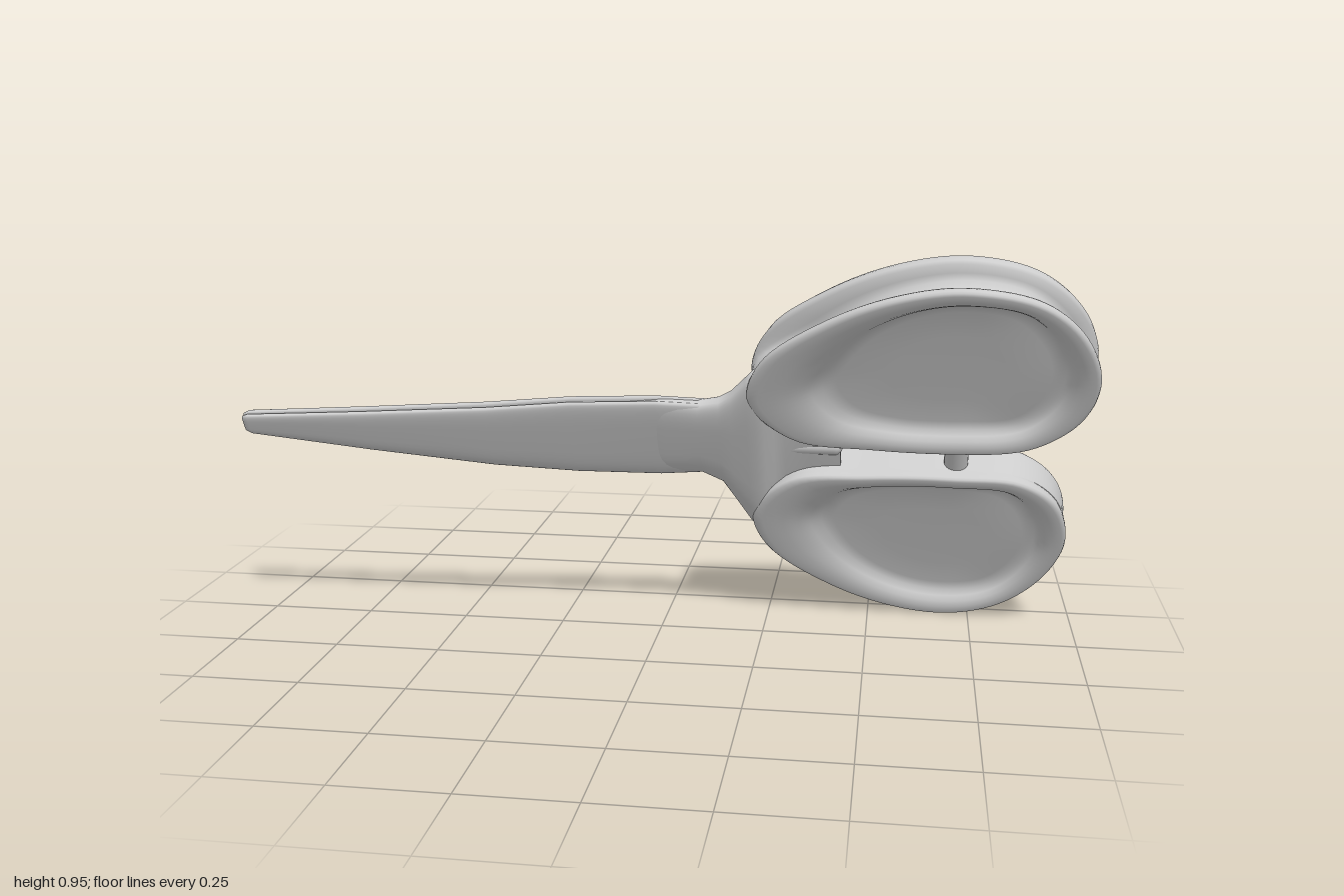
import * as THREE from 'three';

const material = new THREE.MeshStandardMaterial({ color: 0xcccccc, side: THREE.DoubleSide });
const { smoothstep } = THREE.MathUtils;

// Smooth skin over a stack of closed rings
function skin(name, rings, flip = false) {
  const n = rings[0].length, pos = [], idx = [];
  rings.forEach(r => r.forEach(p => pos.push(p.x, p.y, p.z)));
  for (let i = 0; i < rings.length - 1; i++) {
    for (let j = 0; j < n; j++) {
      const a = i * n + j, b = i * n + (j + 1) % n, c = a + n, d = b + n;
      if (flip) idx.push(a, c, b, b, c, d);
      else idx.push(a, b, c, b, d, c);
    }
  }
  const g = new THREE.BufferGeometry();
  g.setAttribute('position', new THREE.Float32BufferAttribute(pos, 3));
  g.setIndex(idx);
  g.computeVertexNormals();
  const mesh = new THREE.Mesh(g, material);
  mesh.name = name;
  return mesh;
}

// Rounded-box cross-sections along x; each section is [x, low, high, middle z, half thickness]
function loft(name, sections) {
  const n = 32, soft = v => Math.sign(v) * Math.abs(v) ** 0.6;
  const ring = ([x, lo, hi, z, h], k = 1) => Array.from({ length: n }, (_, j) => {
    const a = (j / n) * Math.PI * 2;
    return new THREE.Vector3(x, (lo + hi) / 2 + k * soft(Math.cos(a)) * (hi - lo) / 2, z + k * soft(Math.sin(a)) * h);
  });
  const last = sections[sections.length - 1];
  return skin(name, [ring(sections[0], 0), ...sections.map(s => ring(s)), ring(last, 0)]);
}

const closedCurve = pts => new THREE.CatmullRomCurve3(pts.map(([x, y]) => new THREE.Vector3(x, y, 0)), true);

// Matching outlines of the bow: outer rim and inner bowl
const outer = closedCurve([[.22, .18], [.255, .30], [.40, .42], [.55, .49], [.70, .515], [.85, .48], [.95, .39],
  [1.0, .26], [.97, .14], [.87, .06], [.70, .043], [.50, .048], [.32, .07]]);
const inner = closedCurve([[.39, .21], [.42, .29], [.49, .375], [.59, .435], [.70, .457], [.82, .435], [.89, .365],
  [.925, .27], [.905, .18], [.84, .112], [.70, .095], [.55, .10], [.44, .135]]);
const centre = new THREE.Vector3(.67, .27, 0);

// Profile across the bow: [position from bowl (0) to rim (1), z, inset on the finger side, inset on the inner side];
// negative positions move toward the centre
const profile = [
  [-1, .03, 0, 0], [-.5, .03, 0, 0], [-.12, .031, 0, 0], [0, .036, 0, 0], [.15, .05, 0, 0], [.32, .061, 0, 0],
  [.55, .068, 0, 0], [.85, .07, 0, 0], [.96, .067, 0, 0], [1, .061, 0, 0], [1, .052, 0, 0], [.98, .045, .04, 0],
  [.97, .039, .3, 0], [.96, .031, .55, 0], [.96, 0, .6, 0], [.96, -.022, .57, 0], [.97, -.029, .33, 0],
  [.98, -.037, .04, 0], [1, -.047, 0, .02], [1, -.058, 0, .08], [.93, -.069, 0, .14], [.75, -.076, 0, .1],
  [.5, -.076, 0, 0], [.3, -.068, 0, 0], [.17, -.05, 0, 0], [.1, -.02, 0, 0], [.06, .008, 0, 0], [0, .016, 0, 0],
  [-.12, .018, 0, 0], [-1, .018, 0, 0],
];

function bow(name, side) {
  const n = 96;
  const rings = profile.map(([t, z, groove, round]) => Array.from({ length: n }, (_, j) => {
    const o = outer.getPoint(j / n), i = inner.getPoint(j / n);
    // the finger groove fades out toward the inner side, whose back edge is rounder
    const fade = smoothstep(o.y, .22, .37);
    const k = t - groove * fade - round * (1 - fade);
    const p = t < 0 ? i.lerp(centre, -t) : i.lerp(o, k);
    // the front rim dips slightly at the far end
    p.z = z - (z > .032 ? .016 * smoothstep(p.x, .72, 1) : 0);
    // the lower bow is slightly shorter and reaches closer to the middle
    if (side < 0) {
      p.x = .22 + (p.x - .22) * .96;
      p.y -= .008 * (1 - smoothstep(p.y, .1, .3));
    }
    p.y *= side;
    return p;
  }));
  return skin(name, rings, side < 0);
}

export function createModel() {
  const model = new THREE.Group();
  model.name = 'scissors';
  const body = new THREE.Group();
  body.name = 'tiltedBody';
  body.rotation.x = .537;
  body.position.y = .475;
  model.add(body);

  body.add(bow('upperHandle', 1), bow('lowerHandle', -1));

  // Two closed blades with a fine groove between their edges
  const blade = [
    [-1, .078, .122, .094, .5], [-.985, .072, .129, .094, .75], [-.7, .022, .141, .083, .9], [-.4, -.03, .152, .066, 1],
    [-.2, -.06, .16, .047, 1], [0, -.07, .16, .035, 1], [.14, -.06, .15, .03, 1],
  ];
  for (const [name, s] of [['frontBlade', 1], ['backBlade', -1]]) {
    body.add(loft(name, blade.map(([x, lo, hi, z, k]) => [x, lo, hi, z + s * .01 * k, .011 * k])));
  }

  // Neck flaring from the blades, flush with the handle fronts, then thinning to a web between them
  body.add(loft('neck', [[-.08, -.06, .15, .038, .014], [.02, -.066, .157, .034, .023], [.1, -.063, .152, .033, .027],
    [.15, -.09, .165, .035, .03], [.18, -.15, .187, .036, .031], [.215, -.225, .23, .036, .032],
    [.235, -.25, .255, .036, .032], [.255, -.24, .245, .033, .029], [.275, -.2, .2, .024, .021],
    [.3, -.15, .15, .016, .017], [.36, -.12, .12, .012, .016], [.43, -.09, .09, .01, .015]]));

  // Rib along the middle of the web
  const rib = new THREE.Mesh(new THREE.CapsuleGeometry(.02, .15, 6, 16), material);
  rib.name = 'webRib';
  rib.rotation.z = Math.PI / 2;
  rib.position.set(.34, .005, .012);
  body.add(rib);

  // Small bumper bridging the handles
  const bridge = new THREE.Mesh(new THREE.CapsuleGeometry(.028, .1, 8, 20), material);
  bridge.name = 'bridge';
  bridge.position.set(.7, 0, .008);
  body.add(bridge);

  // Two domed rivets on the back
  for (const [x, r] of [[-.08, .025], [.01, .022]]) {
    const rivet = new THREE.Mesh(new THREE.SphereGeometry(r, 20, 12), material);
    rivet.name = 'rivet';
    rivet.scale.z = .8;
    rivet.position.set(x, .025, .013);
    body.add(rivet);
  }
  return model;
}
